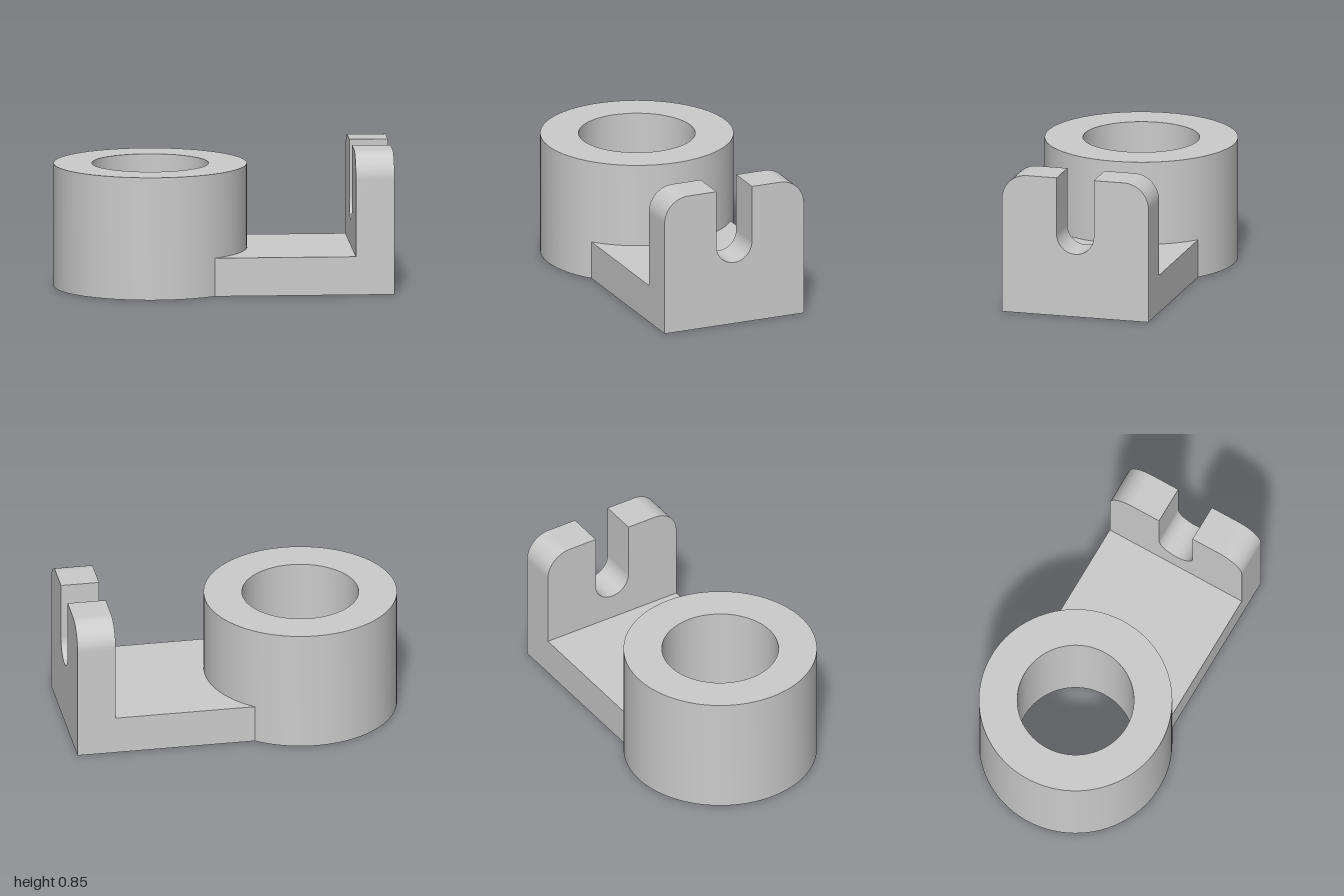
import * as THREE from 'three';
import { toCreasedNormals } from 'three/addons/utils/BufferGeometryUtils.js';

const material = new THREE.MeshStandardMaterial({ color: 0xcccccc });

const RING = { x: -0.425, outer: 0.575, inner: 0.347, height: 0.737 };
const HALF_WIDTH = 0.453;
const BASE_HEIGHT = 0.23;
const LUG = { x: 0.77, depth: 0.23, top: 0.848, corner: 0.153, slot: 0.115, slotY: 0.5 };

function extrude(shape, depth, curveSegments) {
  const geometry = new THREE.ExtrudeGeometry(shape, { depth, curveSegments, bevelEnabled: false });
  return toCreasedNormals(geometry, 0.5);
}

function part(name, geometry) {
  const mesh = new THREE.Mesh(geometry, material);
  mesh.name = name;
  return mesh;
}

// Upright tube with a through bore
function createRing() {
  const shape = new THREE.Shape();
  shape.absarc(RING.x, 0, RING.outer, 0, Math.PI * 2, false);
  const bore = new THREE.Path();
  bore.absarc(RING.x, 0, RING.inner, 0, Math.PI * 2, true);
  shape.holes.push(bore);
  return part('ring', extrude(shape, RING.height, 96).rotateX(-Math.PI / 2));
}

// Flat plate whose inner end follows the ring wall
function createBase() {
  const angle = Math.asin(HALF_WIDTH / RING.outer);
  const shape = new THREE.Shape();
  shape.moveTo(1, -HALF_WIDTH);
  shape.lineTo(1, HALF_WIDTH);
  shape.absarc(RING.x, 0, RING.outer, angle, -angle, true);
  shape.closePath();
  return part('basePlate', extrude(shape, BASE_HEIGHT, 32).rotateX(-Math.PI / 2));
}

// End wall with rounded shoulders and an open round-bottomed slot
function createLug() {
  const { top, corner, slot, slotY } = LUG;
  const inset = HALF_WIDTH - corner;
  const shape = new THREE.Shape();
  shape.moveTo(-HALF_WIDTH, BASE_HEIGHT);
  shape.lineTo(HALF_WIDTH, BASE_HEIGHT);
  shape.absarc(inset, top - corner, corner, 0, Math.PI / 2, false);
  shape.lineTo(slot, top);
  shape.absarc(0, slotY, slot, 0, -Math.PI, true);
  shape.lineTo(-slot, top);
  shape.absarc(-inset, top - corner, corner, Math.PI / 2, Math.PI, false);
  shape.closePath();
  const geometry = extrude(shape, LUG.depth, 24).rotateY(Math.PI / 2);
  return part('slottedWall', geometry.translate(LUG.x, 0, 0));
}

export function createModel() {
  const group = new THREE.Group();
  group.name = 'slottedBracket';
  group.add(createRing(), createBase(), createLug());
  return group;
}
